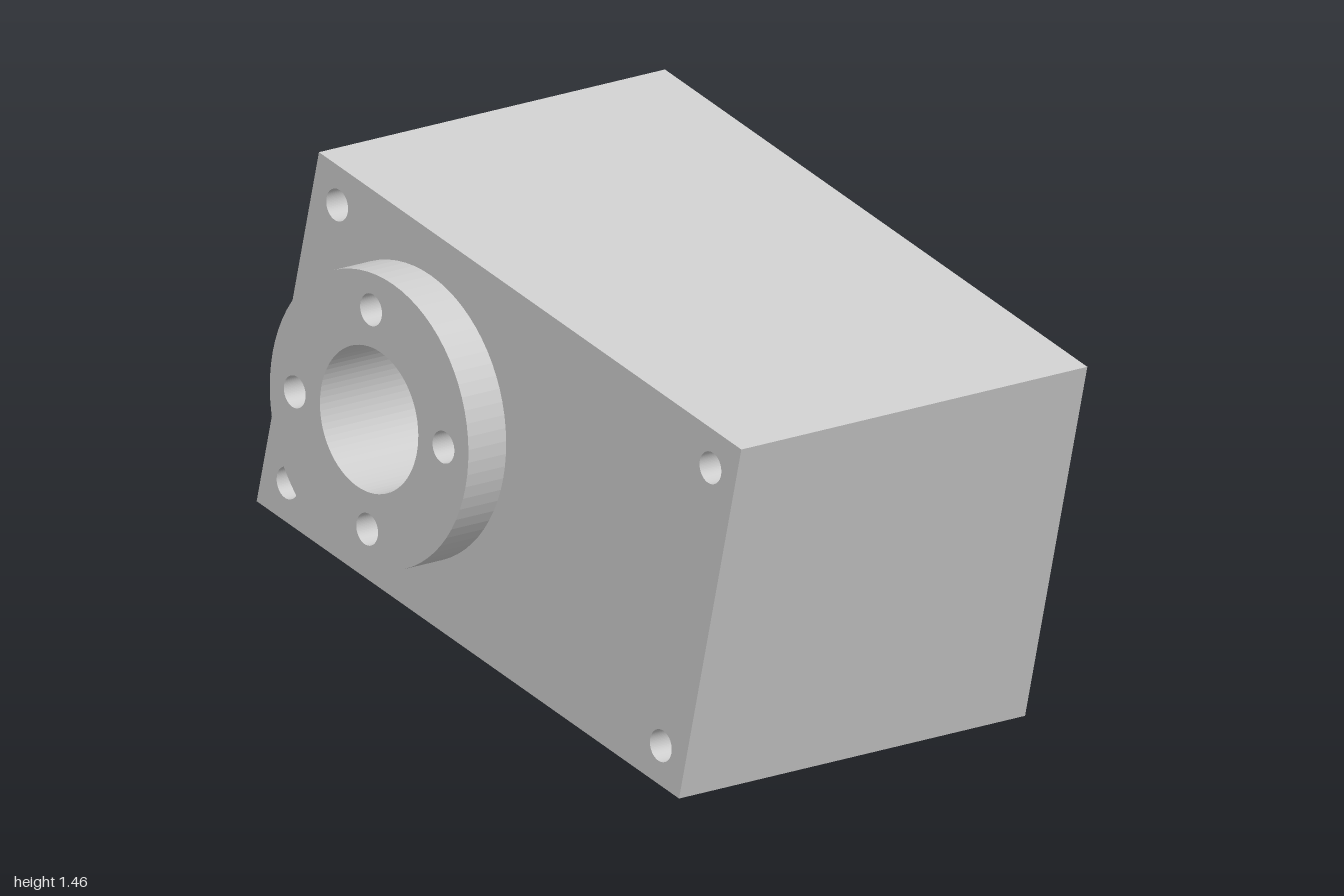
import * as THREE from 'three';

const TILT = Math.atan(0.25);          // lean of the whole block about the x axis
const WIDTH = 1.797, HEIGHT = 1.06;    // side profile of the block
const BODY_HALF = 0.605, FLANGE_DEPTH = 0.132;
const AXIS = 0.392;                    // bore position along the block
const BOLT_TURN = THREE.MathUtils.degToRad(1.5) - TILT;

function addHole(shape, x, y, r) {
  shape.holes.push(new THREE.Path().absarc(x, y, r, 0, Math.PI * 2, true));
}

// Central bore and the four bolt holes around it
function addBoreHoles(shape) {
  addHole(shape, AXIS, 0, 0.203);
  for (let i = 0; i < 4; i++) {
    const a = BOLT_TURN + i * Math.PI / 2;
    addHole(shape, AXIS + 0.307 * Math.cos(a), 0.307 * Math.sin(a), 0.045);
  }
}

// Extrude a side profile along x, starting at x0
function sidePart(name, shape, x0, depth, material) {
  const geometry = new THREE.ExtrudeGeometry(shape, {
    depth, bevelEnabled: false, curveSegments: 36,
  });
  geometry.translate(0, 0, x0);
  geometry.rotateZ(TILT);
  geometry.rotateY(Math.PI / 2);
  geometry.translate(0, 0.732, 0);
  const mesh = new THREE.Mesh(geometry, material);
  mesh.name = name;
  return mesh;
}

export function createModel() {
  const group = new THREE.Group();
  group.name = 'bearingBlock';
  const material = new THREE.MeshStandardMaterial({ color: 0xcccccc });

  // Block with through holes at the corners and the bore
  const w = WIDTH / 2, h = HEIGHT / 2;
  const body = new THREE.Shape();
  body.moveTo(-w, -h).lineTo(w, -h).lineTo(w, h).lineTo(-w, h).closePath();
  addBoreHoles(body);
  for (const sx of [-1, 1]) {
    for (const sy of [-1, 1]) addHole(body, sx * 0.794, sy * 0.422, 0.045);
  }
  group.add(sidePart('body', body, -BODY_HALF, BODY_HALF * 2, material));

  // Round flanges on both sides
  const flange = new THREE.Shape();
  flange.absarc(AXIS, 0, 0.41, 0, Math.PI * 2, false);
  addBoreHoles(flange);
  group.add(sidePart('leftFlange', flange, BODY_HALF, FLANGE_DEPTH, material));
  group.add(sidePart('rightFlange', flange, -BODY_HALF - FLANGE_DEPTH, FLANGE_DEPTH, material));

  return group;
}
